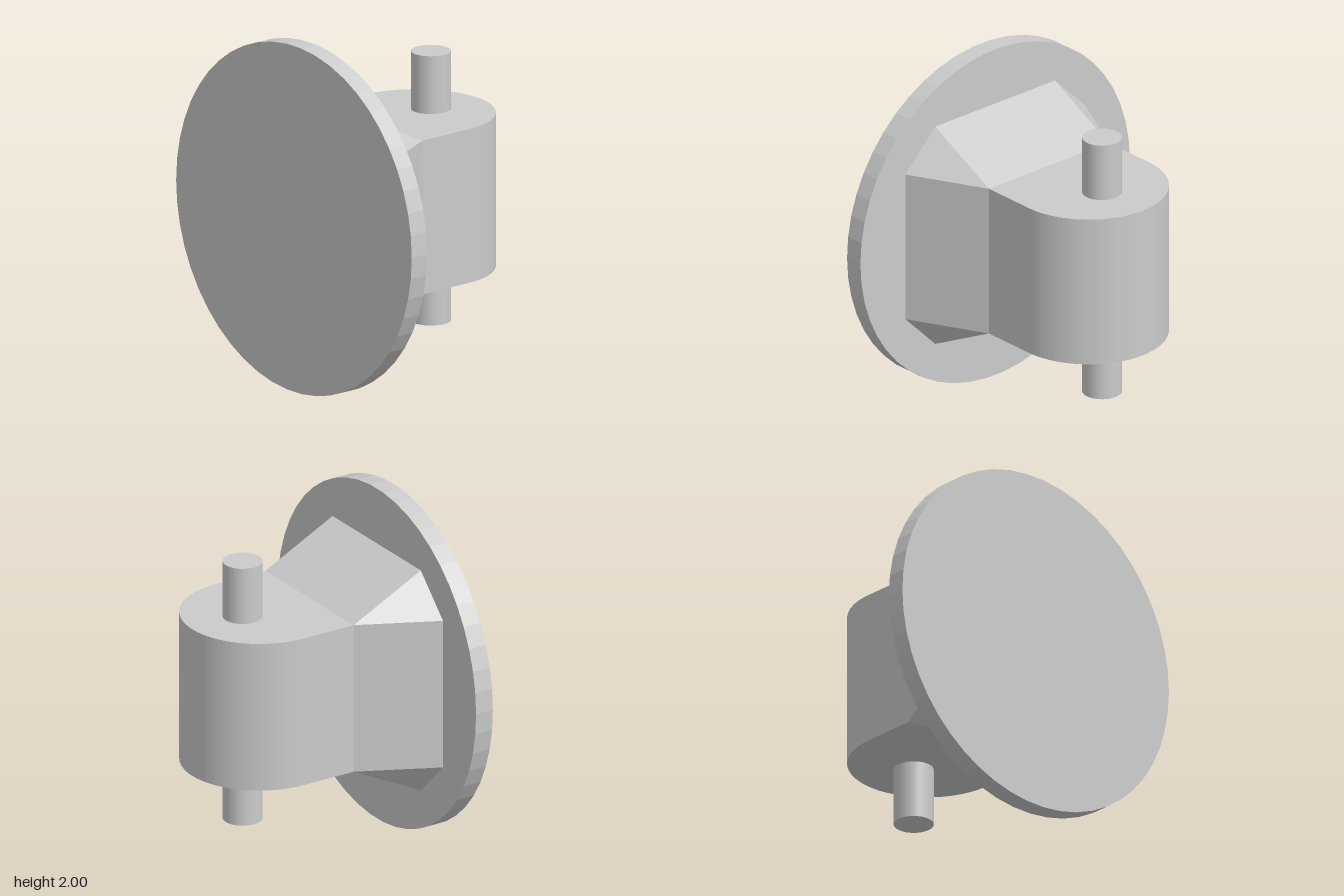
import * as THREE from 'three';
import { ConvexGeometry } from 'three/addons/geometries/ConvexGeometry.js';

export function createModel() {
  const group = new THREE.Group();
  const material = new THREE.MeshStandardMaterial({ color: 0xcccccc, flatShading: true });
  const centreY = 0.998;
  const half = 0.444; // half width and half height of the block
  const flare = 0.667; // reach of the flared foot
  const plateBack = 0.556;

  const add = (name, geometry, y, z) => {
    const mesh = new THREE.Mesh(geometry, material);
    mesh.name = name;
    mesh.position.set(0, y, z);
    group.add(mesh);
  };

  // Round mounting plate facing forward
  const plate = new THREE.CylinderGeometry(1, 1, 0.111, 50, 1, false, Math.PI / 2);
  plate.rotateX(Math.PI / 2);
  add('mountingPlate', plate, centreY, plateBack + 0.0555);

  // Block with a rounded rear end, drawn in plan and extruded upwards
  const plan = new THREE.Shape();
  plan.moveTo(-half, -plateBack);
  plan.lineTo(half, -plateBack);
  plan.lineTo(half, 0.222);
  plan.absarc(0, 0.222, half, 0, Math.PI, false);
  plan.closePath();
  const block = new THREE.ExtrudeGeometry(plan, { depth: 2 * half, bevelEnabled: false, curveSegments: 25 });
  block.rotateX(-Math.PI / 2);
  add('roundedBlock', block, centreY - half, 0);

  // Flared foot: square at the block, eight-sided at the plate
  const points = [];
  for (const sx of [-1, 1]) {
    for (const sy of [-1, 1]) {
      points.push(
        new THREE.Vector3(sx * half, sy * half, 0.111),
        new THREE.Vector3(sx * flare, sy * half, plateBack),
        new THREE.Vector3(sx * half, sy * flare, plateBack)
      );
    }
  }
  add('flaredFoot', new ConvexGeometry(points), centreY, 0);

  // Vertical pin through the block
  add('pin', new THREE.CylinderGeometry(0.111, 0.111, 1.556, 50), centreY, -0.333);

  return group;
}
